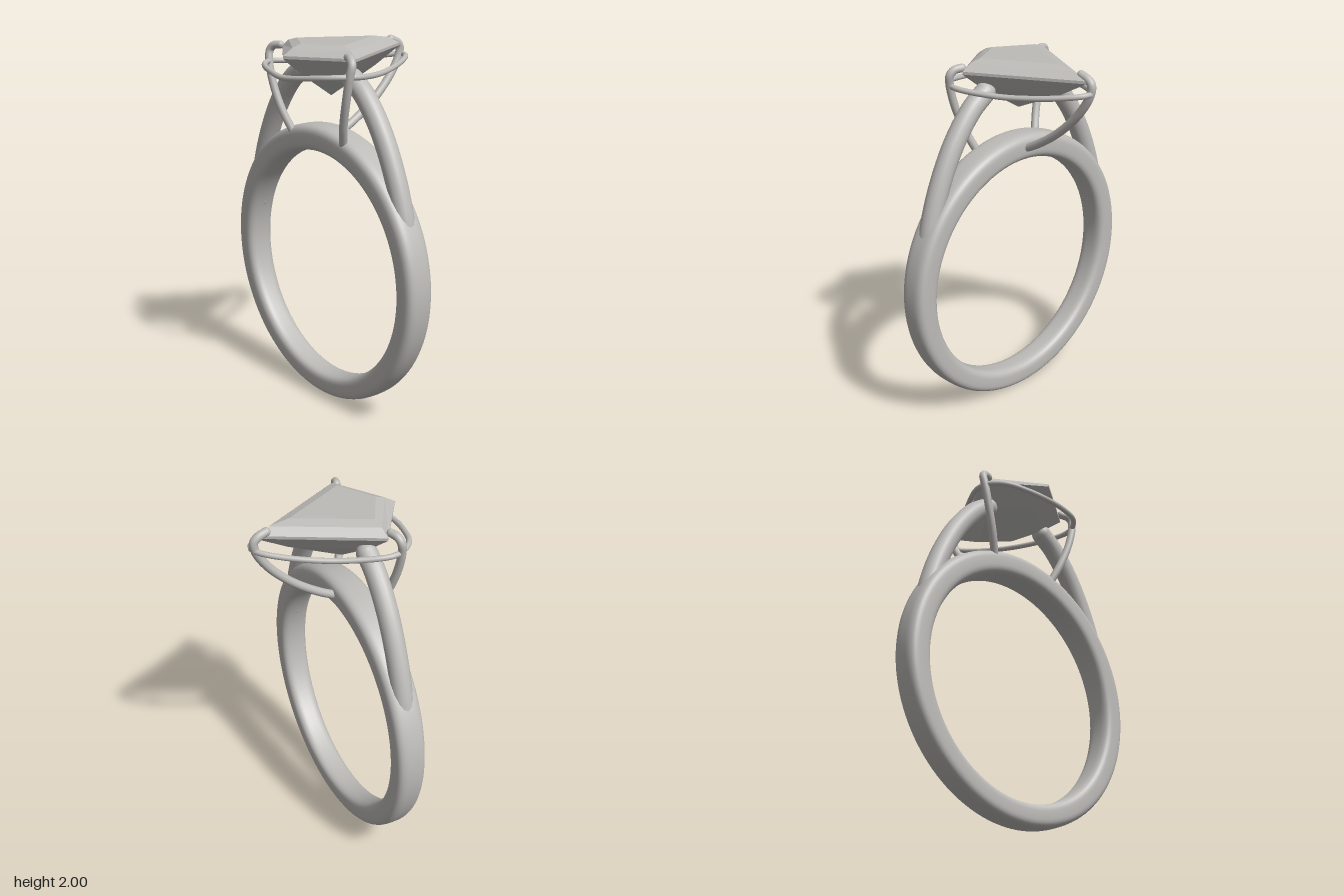
import * as THREE from 'three';
import { mergeGeometries, mergeVertices } from 'three/addons/utils/BufferGeometryUtils.js';

const BAND_Z = 0.125;
const metal = new THREE.MeshStandardMaterial({ color: 0xbdbbb8 });
metal.name = 'pale grey';

function addMesh(parent, name, geometry) {
  const mesh = new THREE.Mesh(geometry, metal);
  mesh.name = name;
  parent.add(mesh);
}

// Round wire along a smooth path, with ball ends unless closed
function wire(points, radius, closed = false) {
  const pts = points.map((p) => new THREE.Vector3(...p));
  const curve = new THREE.CatmullRomCurve3(pts, closed);
  const parts = [new THREE.TubeGeometry(curve, 72, radius, 16, closed)];
  if (!closed) {
    for (const p of [pts[0], pts[pts.length - 1]]) {
      parts.push(new THREE.SphereGeometry(radius, 16, 12).translate(p.x, p.y, p.z));
    }
  }
  return mergeGeometries(parts);
}

// Band: rounded section turned about z, growing wider and thicker to the top
function bandGeometry() {
  const section = [];
  const soft = (v) => Math.sign(v) * Math.abs(v) ** 0.6;
  for (let i = 0; i <= 40; i++) {
    const a = (i % 40) / 40 * Math.PI * 2;
    section.push(new THREE.Vector2(0.709 + 0.069 * soft(Math.cos(a)), soft(Math.sin(a))));
  }
  let g = new THREE.LatheGeometry(section, 128).rotateX(Math.PI / 2);
  g.deleteAttribute('normal');
  g.deleteAttribute('uv');
  g = mergeVertices(g, 1e-5);
  const pos = g.attributes.position;
  for (let i = 0; i < pos.count; i++) {
    const x = pos.getX(i), y = pos.getY(i);
    const inner = (0.778 - Math.hypot(x, y)) / 0.138;
    const halfWidth = 0.082 + 0.008 * y / 0.778;
    pos.setXYZ(i, x, y + 0.778 - 0.008 * inner, BAND_Z + pos.getZ(i) * halfWidth);
  }
  g.computeVertexNormals();
  return g;
}

// Kite stone: each ring is [y, back z, side x, side z, front z]
function stoneGeometry() {
  const rings = [
    [1.71, 0.094, 0.001, 0.095, 0.096],
    [1.84, -0.21, 0.205, 0.155, 0.29],
    [1.932, -0.385, 0.315, 0.185, 0.405],
    [1.947, -0.385, 0.315, 0.185, 0.405],
    [1.983, -0.31, 0.265, 0.178, 0.345],
    [2.0, -0.2, 0.2, 0.172, 0.29],
  ].map(([y, back, sx, sz, front]) => [[0, y, back], [sx, y, sz], [0, y, front], [-sx, y, sz]]);
  const v = [];
  for (let r = 0; r < rings.length - 1; r++) {
    const lo = rings[r], hi = rings[r + 1];
    for (let i = 0; i < 4; i++) {
      const j = (i + 1) % 4;
      v.push(...lo[i], ...hi[i], ...lo[j], ...lo[j], ...hi[i], ...hi[j]);
    }
  }
  const [b, r, f, l] = rings[rings.length - 1];
  v.push(...b, ...l, ...f, ...b, ...f, ...r);
  const g = new THREE.BufferGeometry();
  g.setAttribute('position', new THREE.Float32BufferAttribute(v, 3));
  g.computeVertexNormals();
  return g;
}

export function createModel() {
  const ring = new THREE.Group();
  ring.name = 'ring';
  addMesh(ring, 'band', bandGeometry());
  addMesh(ring, 'stone', stoneGeometry());

  // Shoulders and front prongs, mirrored
  for (const [side, s] of [['left', 1], ['right', -1]]) {
    addMesh(ring, side + 'Shoulder', wire([
      [0.655, 1.0], [0.615, 1.2], [0.545, 1.4], [0.44, 1.6], [0.315, 1.755], [0.215, 1.83],
    ].map(([x, y]) => [s * x, y, BAND_Z]), 0.056));
    addMesh(ring, side + 'Prong', wire([
      [0.22, 1.49, 0.19], [0.265, 1.6, 0.225], [0.315, 1.74, 0.247], [0.347, 1.87, 0.25],
      [0.352, 1.925, 0.24], [0.33, 1.95, 0.23], [0.29, 1.957, 0.215],
    ].map(([x, y, z]) => [s * x, y, z]), 0.022));
  }

  // Back prong hooks over the long tip of the stone
  addMesh(ring, 'backProng', wire([
    [-0.015, 1.48, 0.06], [-0.015, 1.53, -0.04], [-0.015, 1.63, -0.19], [-0.018, 1.76, -0.325],
    [-0.02, 1.87, -0.395], [-0.02, 1.925, -0.403], [-0.02, 1.95, -0.38], [-0.018, 1.968, -0.335],
  ], 0.023));

  // Thin rail looping round the stone
  const half = [
    [0.045, 1.878, -0.39], [0.145, 1.86, -0.25], [0.25, 1.846, -0.04], [0.35, 1.862, 0.18],
    [0.345, 1.866, 0.245], [0.27, 1.862, 0.335], [0.14, 1.848, 0.385],
  ];
  const mirrored = half.map(([x, y, z]) => [-x, y, z]).reverse();
  addMesh(ring, 'rail', wire([
    [0, 1.882, -0.41], ...half, [0, 1.836, 0.408], ...mirrored,
  ], 0.015, true));
  return ring;
}
